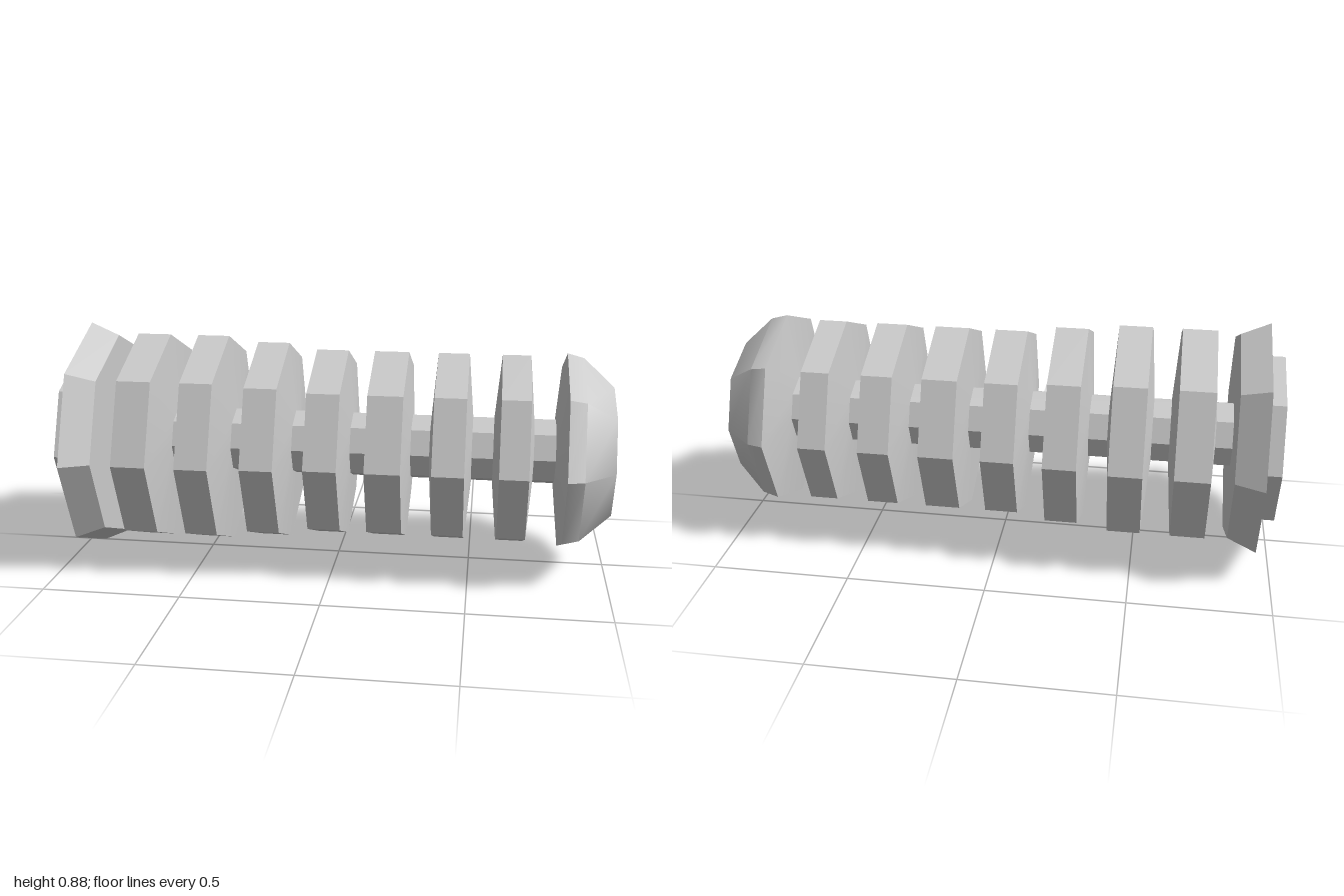
import * as THREE from 'three';
import { toCreasedNormals } from 'three/addons/utils/BufferGeometryUtils.js';

const SIDES = 8;
const AXIS_Y = 0.4375;
const SHAFT_R = 0.122;

export function createModel() {
  const group = new THREE.Group();
  const material = new THREE.MeshStandardMaterial({ color: 0xcccccc });

  // Octagonal solid turned around the x axis from [x, radius] pairs, x increasing
  function turned(name, profile) {
    const points = profile.map(([x, r]) => new THREE.Vector2(r, x));
    const lathe = new THREE.LatheGeometry(points, SIDES);
    lathe.rotateZ(-Math.PI / 2);
    const mesh = new THREE.Mesh(toCreasedNormals(lathe, THREE.MathUtils.degToRad(38)), material);
    mesh.name = name;
    mesh.position.y = AXIS_Y;
    group.add(mesh);
  }

  // Core shaft, its ends buried in the flange and the head
  turned('shaft', [[-0.84, SHAFT_R], [0.81, SHAFT_R]]);

  // Stub and tapered flange at the wide end
  turned('endFlange', [
    [-1, 0], [-1, 0.315], [-0.94, 0.315], [-0.94, 0.4375],
    [-0.838, 0.392], [-0.838, SHAFT_R],
  ]);

  // Ribs with slightly sloped cheeks: base start, rim start, rim end, base end, radius
  const ribs = [
    [-0.777, -0.76, -0.636, -0.615, 0.4],
    [-0.551, -0.53, -0.412, -0.391, 0.4],
    [-0.322, -0.302, -0.184, -0.162, 0.38],
    [-0.103, -0.081, 0.037, 0.055, 0.358],
    [0.122, 0.134, 0.26, 0.278, 0.358],
    [0.347, 0.367, 0.48, 0.5, 0.358],
    [0.577, 0.598, 0.7, 0.722, 0.358],
  ];
  ribs.forEach(([baseStart, rimStart, rimEnd, baseEnd, r], i) =>
    turned(`rib${i + 1}`, [[baseStart, SHAFT_R], [rimStart, r], [rimEnd, r], [baseEnd, SHAFT_R]]));

  // Softly shaded head with a flat tip
  turned('head', [[0.8, SHAFT_R], [0.828, 0.37], [0.887, 0.354], [1, 0.249], [1, 0]]);

  return group;
}
